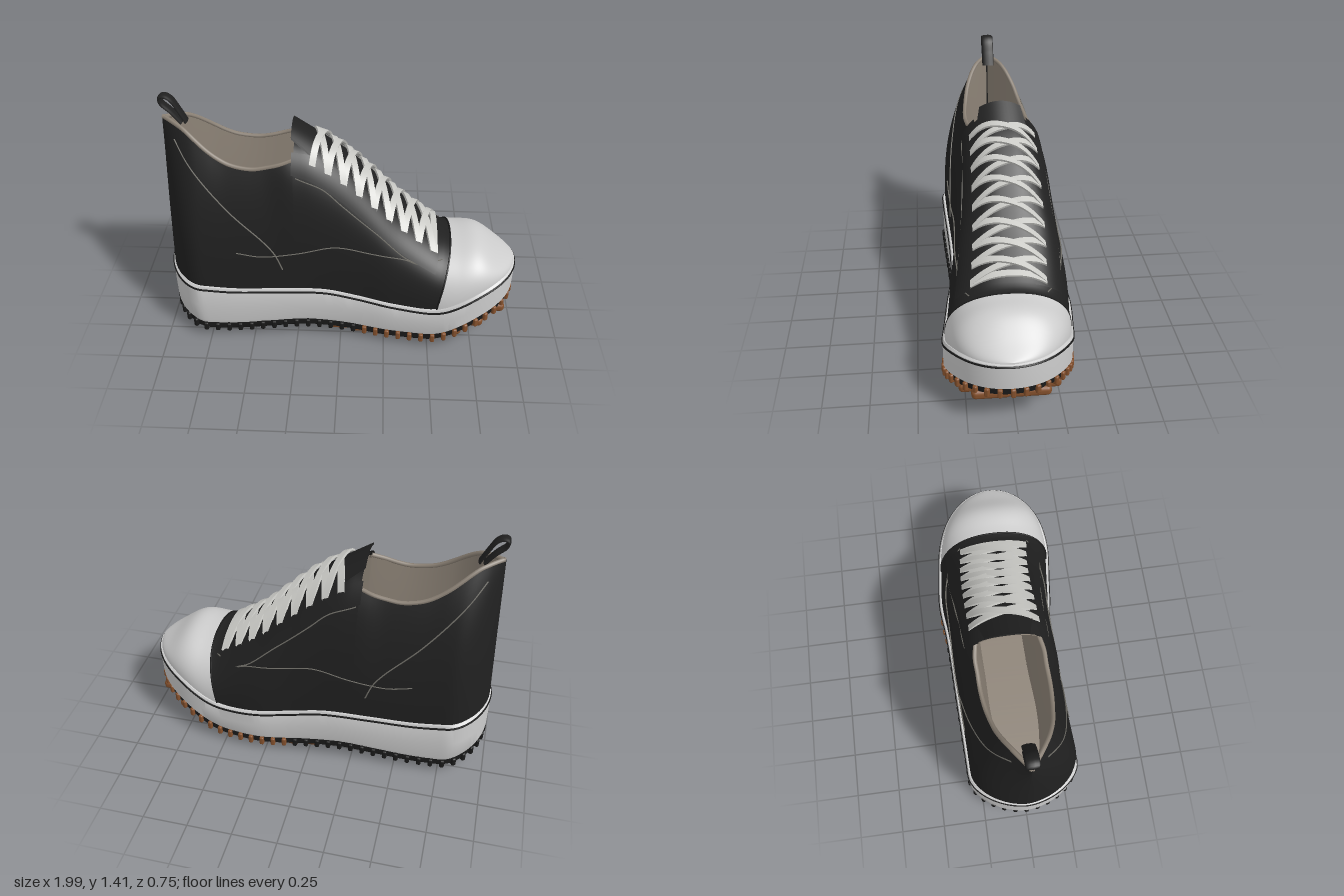
import * as THREE from 'three';
import { toCreasedNormals } from 'three/addons/utils/BufferGeometryUtils.js';
import { RoundedBoxGeometry } from 'three/addons/geometries/RoundedBoxGeometry.js';

const V = (x, y, z) => new THREE.Vector3(x, y, z);
const lerp = THREE.MathUtils.lerp, clamp = THREE.MathUtils.clamp;
const steps = (n, f) => Array.from({ length: n + 1 }, (_, i) => f(i / n, i));

// Smooth function through a few [x, value] points
const curve = pts => x => {
  x = clamp(x, pts[0][0], pts[pts.length - 1][0]);
  let i = 0;
  while (i < pts.length - 2 && x > pts[i + 1][0]) i++;
  const slope = j => {
    const a = pts[Math.max(j - 1, 0)], b = pts[Math.min(j + 1, pts.length - 1)];
    return (b[1] - a[1]) / (b[0] - a[0]);
  };
  const d = pts[i + 1][0] - pts[i][0], t = (x - pts[i][0]) / d, u = 1 - t;
  return pts[i][1] * u * u * (1 + 2 * t) + slope(i) * d * t * u * u
    + pts[i + 1][1] * t * t * (3 - 2 * t) - slope(i + 1) * d * t * t * u;
};

// Profiles along the length of the shoe
const soleTop = curve([[-1, .385], [-.8, .365], [-.6, .345], [-.35, .345], [-.1, .342], [.1, .308], [.3, .28], [.5, .268], [.6, .29], [.8, .38], [1, .435]]);
const soleBottom = curve([[-1, .125], [-.8, .095], [-.6, .09], [-.4, .105], [-.2, .12], [0, .105], [.2, .085], [.5, .085], [.6, .11], [.8, .2], [1, .265]]);
const ridge = curve([[-.26, 1.18], [-.15, 1.155], [0, 1.055], [.1, .965], [.2, .865], [.3, .765], [.4, .685], [.5, .615], [.57, .575], [.64, .57], [.74, .575], [.8, .555], [.9, .485], [.985, .435]]);
const collar = curve([[-.98, 1.275], [-.9, 1.262], [-.84, 1.24], [-.7, 1.14], [-.6, 1.085], [-.47, 1.06], [-.35, 1.08], [-.25, 1.11]]);
const openWidth = curve([[-.983, 0], [-.94, .03], [-.9, .058], [-.8, .115], [-.7, .152], [-.5, .182], [-.25, .175]]);
const centre = curve([[-1, 0], [-.8, 0], [-.1, -.025], [.3, -.02], [.6, .01], [1, .03]]);
const width = curve([[-1, .313], [-.8, .313], [-.1, .31], [.1, .32], [.3, .345], [.6, .35], [1, .35]]);
const end = (t, q) => Math.max(0, 1 - Math.abs(t) ** q) ** (1 / q);
const soleWidth = x => width(x) * (x < -.78 ? end((x + .78) / .21, 1.75) : x > .55 ? end((x - .55) / .44, 2) : 1);
const TIP = .983;
const upperWidth = x => .952 * soleWidth(x * .99 / TIP);
const base = x => soleTop(x) - .01;
const roundness = x => clamp(lerp(2.8, 2.2, (x + .25) / .9), 2.2, 2.8);
// Half width of the arched upper at a height fraction
const archWidth = (x, f) => upperWidth(x) * (1 - f ** roundness(x)) ** (1 / roundness(x));

// Arched front section, angle 0..PI across the foot, e = outward offset
const arch = (s, a, e = 0) => {
  const x = s + .075 * Math.abs(Math.sin(a)) * Math.max(0, 1 - ((s - .54) / .3) ** 2);
  const p = 2 / roundness(x), c = Math.cos(a), y0 = base(x);
  return V(x, y0 + (ridge(x) + e - y0) * Math.abs(Math.sin(a)) ** p,
    centre(x) + (upperWidth(x) + e) * Math.sign(c) * Math.abs(c) ** p);
};
// Open rear section, v 0..1 from sole to collar, blending into the arch
const lean = (x, v) => .03 * v * clamp((-x - .6) / .35, 0, 1);
const rear = (s, v, side, e = 0) => {
  const w = upperWidth(s), t = Math.min(openWidth(s), w), y = lerp(base(s), collar(s), v);
  const f = clamp((y - base(s)) / (ridge(s) - base(s)), 0, 1);
  const z = lerp(t + (w - t) * (1 - v ** 2.5), archWidth(s, f), THREE.MathUtils.smoothstep(s, -.4, -.25));
  return V(s + lean(s, v), y, centre(s) + side * Math.max(0, z + e));
};
// Inner sock wall, narrowing from the collar down to the insole
const FLOOR = .5;
const inner = (s, v, side) => {
  const top = s < -.25 ? collar(s) : lerp(1.11, .72, (s + .25) / .4);
  const w = Math.max(0, Math.min(openWidth(s), upperWidth(s)) - .008);
  return V(s + lean(s, 1), lerp(FLOOR, top, v), centre(s) + side * w * (.74 + .26 * v ** 1.5));
};
// Point on the outside of the upper for a given x and y
const onSide = (x, y, side) => {
  if (x < -.25) {
    const v = clamp((y - base(x)) / (collar(x) - base(x)), 0, 1);
    return V(x, y, rear(x - lean(x, v), v, side, .003).z);
  }
  const f = clamp((y - base(x)) / (ridge(x) - base(x)), 0, 1);
  return V(x, y, centre(x) + side * (archWidth(x, f) + .003));
};

// Surface through rows of points
function skin(rows, closed = false, crease = 0) {
  const n = rows[0].length, idx = [];
  for (let i = 0; i < rows.length - 1; i++)
    for (let j = 0; j < (closed ? n : n - 1); j++) {
      const k = (j + 1) % n, a = i * n + j, b = i * n + k;
      idx.push(a, b, a + n, b, b + n, a + n);
    }
  const g = new THREE.BufferGeometry().setFromPoints(rows.flat());
  g.setIndex(idx);
  if (crease) return toCreasedNormals(g, crease);
  g.computeVertexNormals();
  return g;
}
const tube = (pts, r, n = 80, closed = false, sides = 6) =>
  new THREE.TubeGeometry(new THREE.CatmullRomCurve3(pts, closed), n, r, sides, closed);

export function createModel() {
  const model = new THREE.Group();
  const mat = (name, color) => Object.assign(new THREE.MeshStandardMaterial({ color, side: THREE.DoubleSide }), { name });
  const black = mat('black canvas', 0x202020), outsoleBlack = mat('black rubber', 0x191919);
  const white = mat('white rubber', 0xcccccc), lace = mat('lace white', 0xc8c8c4);
  const beige = mat('beige lining', 0x8c8276), brown = mat('brown rubber', 0x84502c), thread = mat('grey thread', 0x74726b);
  const add = (name, geo, m) => {
    const mesh = new THREE.Mesh(geo, m);
    mesh.name = name;
    model.add(mesh);
    return mesh;
  };

  // Sole: rings of [inset, height fraction] around the footprint
  const ring = (k, yAt) => Array.from({ length: 160 }, (_, i) => {
    const t = i / 160 * Math.PI * 2, x = -.99 * Math.cos(t);
    return V(x * Math.max(k, .97), yAt(x), centre(x) + soleWidth(x) * k * Math.sign(Math.sin(t)));
  });
  const layer = (rings, lo, hi) => skin(rings.map(([k, f]) => ring(k, x => lerp(lo(x), hi(x), f))), true, .6);
  const treadFloor = x => soleBottom(x) - .045;
  add('midsole', layer([[0, 0], [.98, 0], [1, .1], [1.002, .5], [1, .96], [.985, 1], [.88, 1]], soleBottom, soleTop), white);
  add('outsole', layer([[0, 0], [.95, 0], [.985, .3], [.985, 1], [0, 1]], treadFloor, x => soleBottom(x) + .005), outsoleBlack);
  add('solePiping', tube(ring(1, x => soleTop(x) - .018), .0065, 240, true), outsoleBlack);

  // Ribs around the outsole edge
  const edge = new THREE.CatmullRomCurve3(ring(.985, x => soleBottom(x) - .02), true);
  for (let i = 0; i < 72; i++) {
    const p = edge.getPointAt(i / 72), t = edge.getTangentAt(i / 72);
    const rib = add('edgeRib', new RoundedBoxGeometry(.026, .053, .035, 2, .009), p.x > .08 ? brown : outsoleBlack);
    rib.position.copy(p);
    rib.rotation.y = Math.atan2(-t.z, t.x);
  }

  // Tread blocks in two columns, stepping up to the toe
  [[0, .012], [.127, 0], [.253, 0], [.38, 0], [.505, 0], [.63, .048], [.752, .1], [.875, .163]].forEach(([x, y]) => {
    const w = soleWidth(x) * .87;
    for (const side of [-1, 1]) {
      const block = add('treadBlock', new RoundedBoxGeometry(.127, .056, w - .006, 3, .023), brown);
      block.position.set(x, y + .028, centre(x) + side * w / 2);
    }
  });

  // Upper
  const rearSteps = (s0, n) => steps(n, t => s0 + (-.25 - s0) * (1 - Math.cos(t * Math.PI / 2)));
  for (const side of [-1, 1]) {
    add('quarter', skin(rearSteps(-TIP, 40).map(s => steps(20, v => rear(s, v, side)))), black);
    const innerRows = [...rearSteps(-.965, 30), ...steps(8, t => lerp(-.24, .15, t))];
    add('quarterLining', skin(innerRows.map(s => steps(10, v => inner(s, v, side)))), beige);
  }
  add('vamp', skin(steps(44, t => steps(48, u => arch(lerp(-.252, .54, t), u * Math.PI)))), black);
  add('vampLining', skin(steps(20, t => steps(32, u => arch(lerp(-.25, .25, t), u * Math.PI, -.014)))), beige);
  add('toeCap', skin(steps(32, t => steps(48, u => arch(.54 + (TIP - .54) * Math.sin(t * Math.PI / 2), u * Math.PI, .005 * (1 - t))))), white);
  add('toeCapEdge', tube(steps(40, u => arch(.538, u * Math.PI, .003)), .005), outsoleBlack);
  add('insole', skin(steps(40, t => [-1, 1].map(side => inner(lerp(-.965, .15, t), 0, side)))), beige);
  const rim = [...rearSteps(-TIP, 16).reverse().map(s => rear(s, 1, 1, -.006)), ...rearSteps(-TIP, 16).slice(1).map(s => rear(s, 1, -1, -.006))];
  add('collarRim', tube(rim, .012, 100), beige);

  // Tongue tip
  add('tongue', skin([0, .014].flatMap(h => {
    const rows = steps(6, t => steps(12, u => {
      const z = (u * 2 - 1) * lerp(.15, .115, t);
      return V(lerp(-.13, -.265, t), lerp(1.15, 1.24, t) - 2.6 * z * z + h, centre(-.25) + z);
    }));
    return h ? rows.reverse() : rows;
  }), false, .6), black);

  // Eyestays and stitching, mirrored
  const stitches = [
    [[-.88, 1.19], [-.8, 1.08], [-.6, .84], [-.42, .66], [-.36, .58], [-.32, .48]],
    [[-.57, .59], [-.43, .565], [-.23, .59], [-.03, .63], [.15, .6], [.35, .56], [.43, .53], [.56, .53]],
    [[-.24, 1.03], [-.1, .965], [0, .875], [.1, .785], [.2, .7], [.35, .57], [.43, .53]],
  ];
  for (const side of [-1, 1]) {
    add('eyestay', skin(steps(30, t => steps(10, u => {
      const a = lerp(lerp(.89, .63, t), 1.2, u);
      return arch(lerp(-.262, .48, t), side > 0 ? a : Math.PI - a, .009);
    }))), black);
    for (const line of stitches) {
      const path = new THREE.CatmullRomCurve3(line.map(([x, y]) => V(x, y, 0))).getPoints(40);
      add('stitching', tube(path.map(p => onSide(p.x, p.y, side)), .0037, 80, false, 4), thread);
    }
  }

  // Laces: flat ribbons crossing over the throat
  const along = V(1, -.4, 0).normalize(), up = V(.4, 1, 0).normalize();
  const ribbon = (x0, x1, lift) => skin(steps(24, t => {
    const x = lerp(x0, x1, t), z = lerp(-.2, .2, t) * lerp(.92, 1, (x + .15) / .65), q = roundness(x), h = ridge(x) - base(x);
    const y = base(x) + h * (1 - Math.min(.95, Math.abs(z) / upperWidth(x)) ** q) ** (1 / q);
    const p = V(x, y + .014 + lift * Math.sin(t * Math.PI), centre(x) + z);
    return [[1, 1], [1, -1], [-1, -1], [-1, 1]].map(([a, b]) => p.clone().addScaledVector(along, a * .018).addScaledVector(up, b * .007));
  }), true, .6);
  for (let i = 0; i < 8; i++) {
    const a = -.155 + i * .083, b = a + .083;
    add('lace', ribbon(a, b, .014), lace);
    add('lace', ribbon(b, a, .028), lace);
  }
  add('lace', ribbon(.515, .515, .01), lace);

  // Heel pull loop
  const loop = add('pullLoop', tube([V(-.85, 1.245, 0), V(-.9, 1.31, 0), V(-.948, 1.36, 0), V(-.952, 1.392, 0), V(-.925, 1.398, 0), V(-.895, 1.38, 0), V(-.86, 1.32, 0), V(-.825, 1.25, 0)], .009, 48, false, 10), black);
  loop.scale.z = 3.8;
  return model;
}
